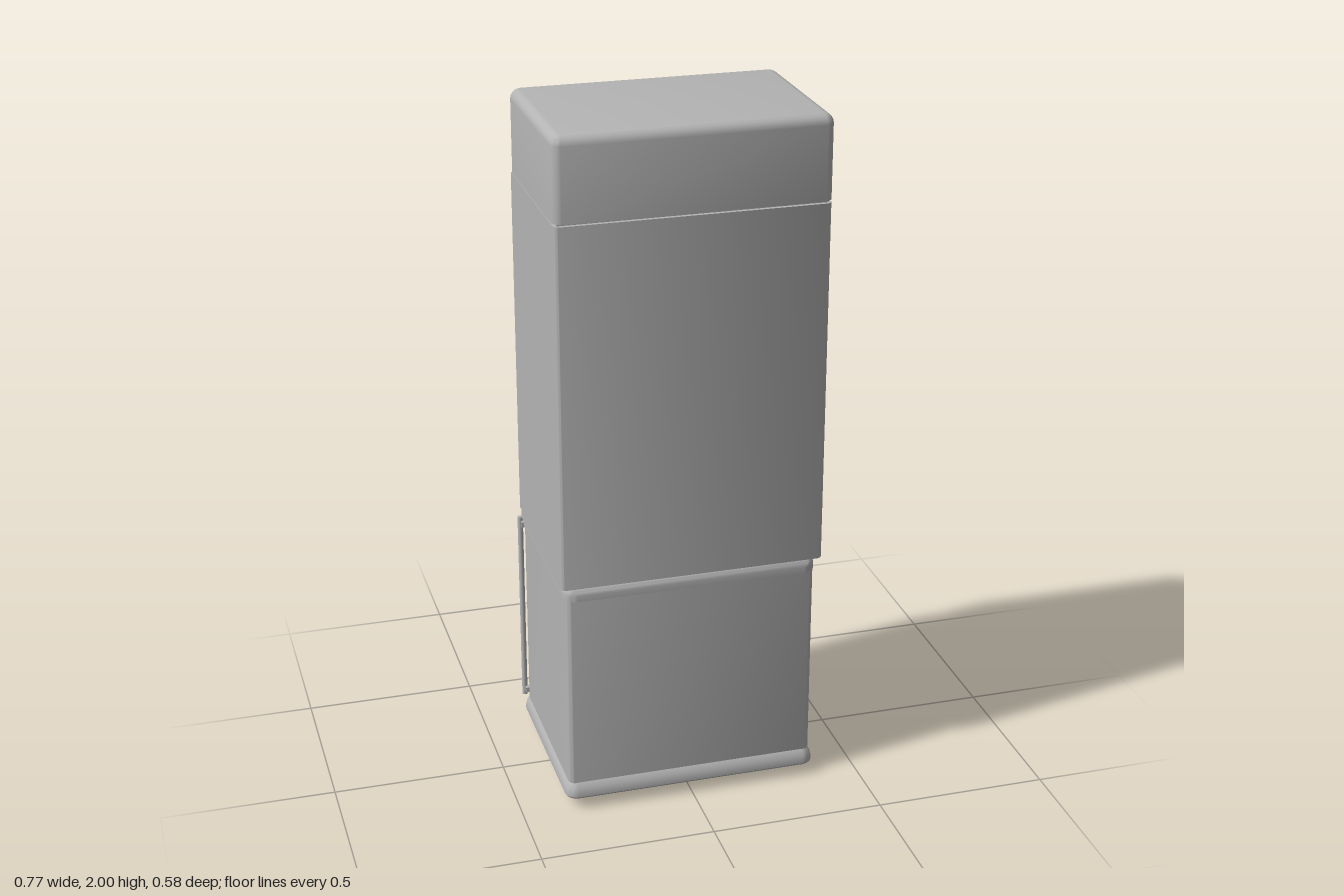
import * as THREE from 'three';
import { toCreasedNormals } from 'three/addons/utils/BufferGeometryUtils.js';
import { RoundedBoxGeometry } from 'three/addons/geometries/RoundedBoxGeometry.js';

const grey = new THREE.MeshStandardMaterial({ color: 0xb4b4b4 });
grey.name = 'grey';

// Rounded-corner slab lofted through [inset, y] profile points, bottom to top
function slab(hw, hd, radius, profile) {
  const pos = [], index = [], seg = 6, n = 4 * (seg + 1);
  for (const [inset, y] of profile) {
    const r = Math.max(radius - inset, 0.004);
    for (let c = 0; c < 4; c++) {
      const sx = c === 0 || c === 3 ? 1 : -1, sz = c < 2 ? 1 : -1;
      for (let k = 0; k <= seg; k++) {
        const a = (c + k / seg) * Math.PI / 2;
        pos.push(sx * (hw - inset - r) + r * Math.cos(a), y, sz * (hd - inset - r) + r * Math.sin(a));
      }
    }
  }
  const last = profile.length - 1;
  for (let j = 0; j < last; j++) {
    for (let i = 0; i < n; i++) {
      const a = j * n + i, b = j * n + (i + 1) % n;
      index.push(a, a + n, b, b, a + n, b + n);
    }
  }
  const bottom = pos.length / 3, top = bottom + 1;
  pos.push(0, profile[0][1], 0, 0, profile[last][1], 0);
  for (let i = 0; i < n; i++) {
    const k = (i + 1) % n;
    index.push(bottom, i, k, top, last * n + k, last * n + i);
  }
  const g = new THREE.BufferGeometry();
  g.setAttribute('position', new THREE.Float32BufferAttribute(pos, 3));
  g.setIndex(index);
  return toCreasedNormals(g, 0.6);
}

// Profile with a quarter-round top edge
function roundTop(y0, y1, r) {
  const p = [[0, y0]];
  for (let k = 0; k <= 5; k++) {
    const a = k / 5 * Math.PI / 2;
    p.push([r * (1 - Math.cos(a)), y1 - r + r * Math.sin(a)]);
  }
  return p;
}

export function createModel() {
  const root = new THREE.Group();
  root.name = 'displayCabinet';
  const add = (name, geometry, x = 0, y = 0, z = 0) => {
    const m = new THREE.Mesh(geometry, grey);
    m.name = name;
    m.position.set(x, y, z);
    root.add(m);
    return m;
  };
  // Box given by its limits
  const box = (name, x0, x1, y0, y1, z0, z1) => add(name,
    new THREE.BoxGeometry(x1 - x0, y1 - y0, z1 - z0), (x0 + x1) / 2, (y0 + y1) / 2, (z0 + z1) / 2);

  // Plinth, lower cabinet and its lid
  add('plinth', slab(0.372, 0.285, 0.035, [[0.004, 0.035], [0, 0.04], [0, 0.05], [0.004, 0.066], [0.014, 0.08], [0.02, 0.085]]));
  add('lowerCabinet', slab(0.362, 0.267, 0.02, [[0, 0.08], [0, 0.67]]), 0, 0, 0.003);
  add('lowerLid', slab(0.366, 0.276, 0.035, roundTop(0.665, 0.708, 0.026)));

  // Service door with its fittings
  box('serviceDoor', -0.35, 0.35, 0.115, 0.655, -0.274, -0.26);
  box('kickStrip', -0.35, 0.35, 0.088, 0.108, -0.274, -0.26);
  box('namePlate', -0.16, 0.16, 0.555, 0.612, -0.283, -0.27);
  box('coinPlate', 0.118, 0.238, 0.165, 0.355, -0.284, -0.27);
  for (const s of [-1, 1]) box('coinSlot', 0.178 + s * 0.03 - 0.014, 0.178 + s * 0.03 + 0.014, 0.252, 0.268, -0.289, -0.282);
  add('coinKnob', new THREE.CylinderGeometry(0.011, 0.011, 0.012, 20).rotateX(Math.PI / 2), 0.178, 0.194, -0.286);
  box('smallHatch', -0.235, -0.145, 0.1, 0.142, -0.28, -0.27);

  // Slim rails beside the service door
  for (const s of [-1, 1]) {
    add('doorRail', new THREE.CylinderGeometry(0.008, 0.008, 0.6, 14), s * 0.37, 0.38, -0.274);
    for (const y of [0.1, 0.66]) box('railBracket', s * 0.362 - 0.008, s * 0.362 + 0.008, y - 0.008, y + 0.008, -0.274, -0.255);
  }

  // Foot pedal below the plinth
  add('pedal', new RoundedBoxGeometry(0.06, 0.014, 0.08, 2, 0.005), 0, 0.011, -0.25);
  add('pedalPad', new THREE.CylinderGeometry(0.025, 0.025, 0.008, 20), 0, 0.004, -0.25);
  add('pedalPost', new THREE.CylinderGeometry(0.01, 0.01, 0.03, 14), 0, 0.03, -0.252);
  box('pedalHinge', -0.025, 0.025, 0.022, 0.037, -0.205, -0.19);

  // Upper housing: U-shaped wall open towards -z
  const w = 0.38, t = 0.022, r = 0.018, zb = 0.286, zf = -0.207;
  const u = new THREE.Shape();
  u.moveTo(-w, -zf);
  u.lineTo(-w, -zb + r);
  u.absarc(-w + r, -zb + r, r, Math.PI, Math.PI * 1.5, false);
  u.lineTo(w - r, -zb);
  u.absarc(w - r, -zb + r, r, Math.PI * 1.5, Math.PI * 2, false);
  u.lineTo(w, -zf);
  u.lineTo(w - t, -zf);
  u.lineTo(w - t, -zb + t);
  u.lineTo(-w + t, -zb + t);
  u.lineTo(-w + t, -zf);
  u.closePath();
  const shell = new THREE.ExtrudeGeometry(u, { depth: 1.048, bevelEnabled: false, curveSegments: 6 }).rotateX(-Math.PI / 2);
  add('housing', toCreasedNormals(shell, 0.6), 0, 0.71, 0);
  box('ceiling', -0.36, 0.36, 1.735, 1.757, -0.207, 0.266);

  // Front frame of the opening with raised round trims
  box('frameTop', -0.38, 0.38, 1.728, 1.757, -0.224, -0.206);
  for (const s of [-1, 1]) {
    box('framePost', s * 0.366 - 0.014, s * 0.366 + 0.014, 0.735, 1.73, -0.224, -0.206);
    add('frameTrim', new RoundedBoxGeometry(0.02, 0.94, 0.024, 3, 0.008), s * 0.36, 1.24, -0.223);
  }

  // Canopy
  add('canopy', slab(0.383, 0.255, 0.032, roundTop(1.765, 2, 0.028)), 0, 0, 0.035);
  box('canopySeam', -0.37, 0.37, 1.755, 1.767, -0.205, 0.275);

  // Shelves, each with a row of five product boxes
  for (let row = 0; row < 3; row++) {
    const y = 1.555 - row * 0.194;
    box('shelf', -0.358, 0.358, y - 0.018, y, -0.15, 0.266);
    for (let i = -2; i <= 2; i++) {
      add('displayBox', new RoundedBoxGeometry(0.1, 0.1, 0.07, 3, 0.01), i * 0.138, y - 0.05, -0.145);
    }
  }

  // Inner counter and the round dishes below it
  box('counter', -0.358, 0.358, 0.765, 0.92, -0.15, 0.266);
  for (const s of [-1, 1]) {
    add('dish', new THREE.CylinderGeometry(0.052, 0.052, 0.014, 32), s * 0.093, 0.724, -0.15);
    add('dishStem', new THREE.CylinderGeometry(0.038, 0.038, 0.014, 32), s * 0.093, 0.712, -0.15);
  }
  return root;
}
